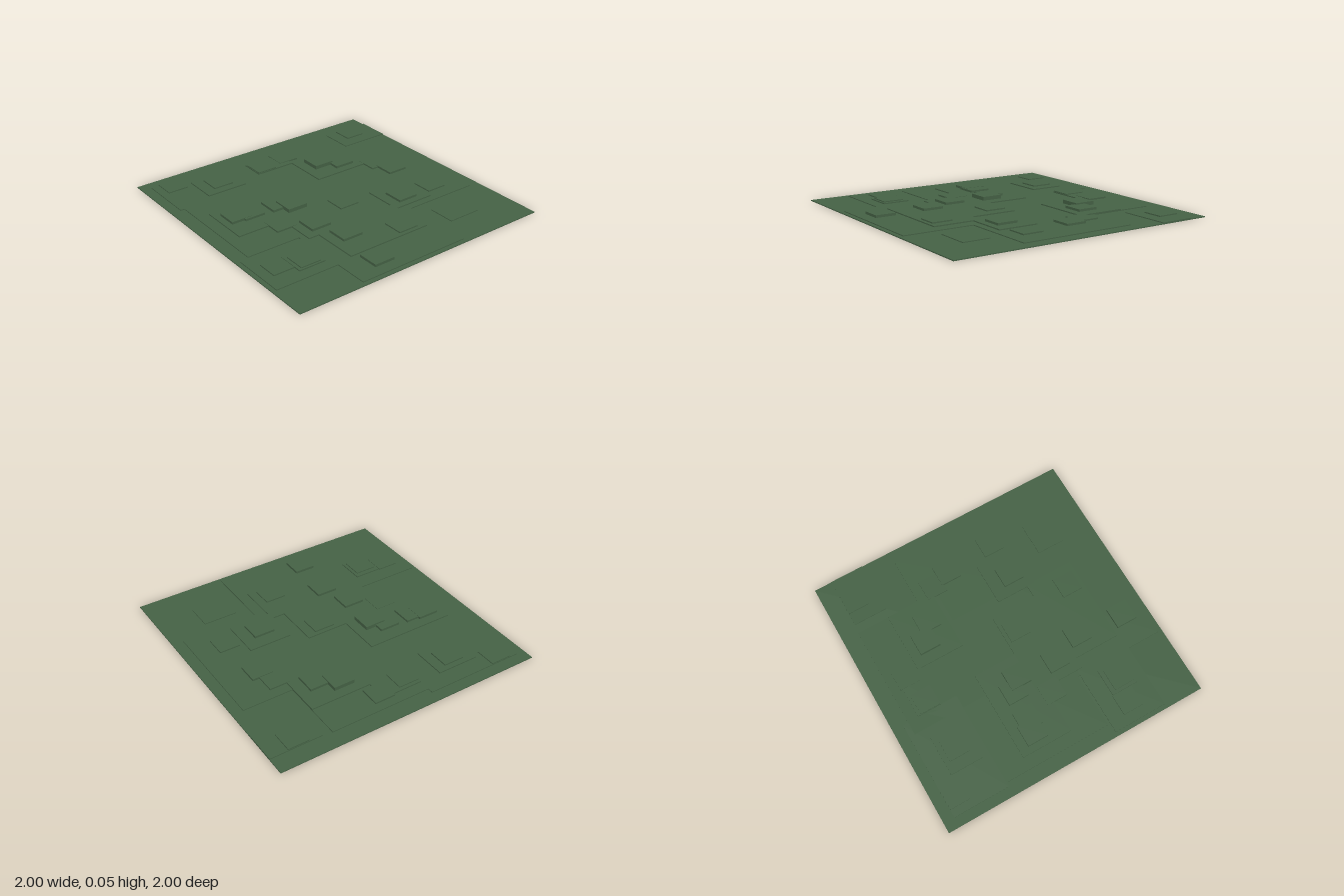
import * as THREE from 'three';

const green = new THREE.MeshStandardMaterial({ color: 0x466346 });
green.name = 'mossGreen';

// Box from footprint limits, standing on the ground up to the given top
function slab(name, x0, x1, z0, z1, top, bottom = 0) {
  const geo = new THREE.BoxGeometry(x1 - x0, top - bottom, z1 - z0);
  geo.translate((x0 + x1) / 2, (top + bottom) / 2, (z0 + z1) / 2);
  const mesh = new THREE.Mesh(geo, green);
  mesh.name = name;
  return mesh;
}

export function createModel() {
  const model = new THREE.Group();
  model.name = 'terracedGround';
  model.add(slab('basePlate', -1, 1, -1, 1, 0.007));

  const terraces = new THREE.Group();
  terraces.name = 'terraces';
  model.add(terraces);

  // Low, broad terraces: x0, x1, z0, z1
  const low = [
    [-0.93, -0.2, -0.92, -0.5], [-0.3, 0.55, -0.88, -0.25],
    [-0.9, 0.3, -0.55, 0.3], [-0.97, -0.45, 0.32, 0.72],
    [-0.5, 0.35, 0.2, 0.97], [0.2, 0.92, -0.4, 0.45],
    [0.62, 1, -0.87, -0.62], [0.45, 0.7, 0.55, 0.75],
  ];
  low.forEach(([x0, x1, z0, z1]) => terraces.add(slab('lowTerrace', x0, x1, z0, z1, 0.013, 0.006)));

  // Middle terraces carrying the taller tiles
  const middle = [
    [-0.67, -0.36, -0.8, -0.55], [0.1, 0.55, -0.64, -0.28],
    [-0.81, -0.14, -0.32, 0.06], [-0.46, 0.17, 0.0, 0.36],
    [-0.38, 0.27, 0.34, 0.7], [0.26, 0.58, 0.1, 0.4],
    [-0.2, 0.1, -0.8, -0.62], [-0.74, -0.54, 0.44, 0.64],
  ];
  middle.forEach(([x0, x1, z0, z1]) => terraces.add(slab('middleTerrace', x0, x1, z0, z1, 0.021, 0.012)));

  // Square tiles of one size: centre x, centre z, top height
  const tiles = [
    [-0.51, -0.685, 0.03], [0.255, -0.495, 0.048], [0.388, -0.415, 0.038],
    [-0.685, -0.175, 0.038], [-0.588, -0.157, 0.036], [-0.292, -0.073, 0.048],
    [-0.372, -0.142, 0.038], [-0.315, 0.227, 0.038], [-0.23, 0.457, 0.038],
    [-0.258, 0.812, 0.031], [0.13, 0.598, 0.03], [0.412, 0.275, 0.037],
    [0.022, 0.105, 0.03], [-0.795, -0.84, 0.02], [-0.12, -0.7, 0.028],
    [0.1, -0.74, 0.024], [0.79, -0.79, 0.021], [0.6, -0.25, 0.023],
    [0.65, -0.11, 0.028], [0.69, 0.27, 0.022], [-0.82, 0.51, 0.021],
    [-0.64, 0.55, 0.028], [-0.5, 0.09, 0.024],
  ];
  const half = 0.077;
  const tileGroup = new THREE.Group();
  tileGroup.name = 'raisedTiles';
  tiles.forEach(([x, z, top]) =>
    tileGroup.add(slab('raisedTile', x - half, x + half, z - half, z + half, top, 0.006)));
  model.add(tileGroup);
  return model;
}
